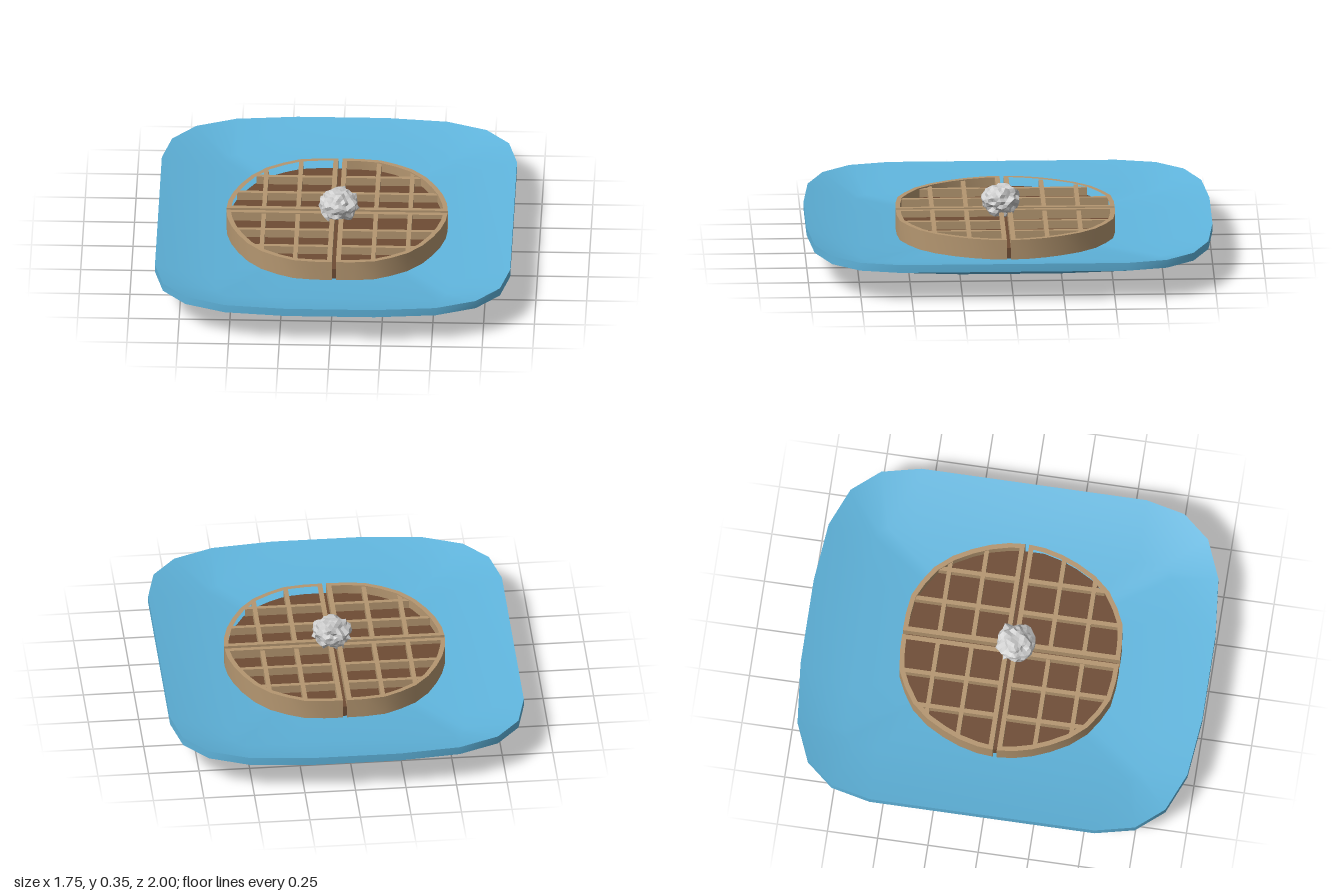
import * as THREE from 'three';
import { toCreasedNormals } from 'three/addons/utils/BufferGeometryUtils.js';

const mat = (color, extra = {}) => new THREE.MeshStandardMaterial({ color, ...extra });

function add(parent, name, geometry, material) {
  const mesh = new THREE.Mesh(geometry, material);
  mesh.name = name;
  parent.add(mesh);
  return mesh;
}

// Mirrors the points of one quarter (+x towards +z) into a closed ring
function fullRing(quarter) {
  const back = [...quarter].reverse();
  return [
    ...quarter,
    ...back.map(([x, z]) => [-x, z]),
    ...quarter.map(([x, z]) => [-x, -z]),
    ...back.map(([x, z]) => [x, -z]),
  ];
}

// Plate: rings from the underside centre, out over the rim, to the floor centre
function plateGeometry() {
  const rim = fullRing([[0.875, 0.56], [0.83, 0.755], [0.715, 0.89], [0.52, 0.97], [0.22, 1]]);
  const floor = fullRing([[0.58, 0.56], [0.57, 0.68], [0.55, 0.72], [0.51, 0.737], [0.3, 0.745]]);
  const rings = [
    [rim, 0, 0], [rim, 0.437, 0], [rim, 1, 0.16], [rim, 1, 0.2], [floor, 1, 0.125], [floor, 0, 0.125],
  ].map(([ring, s, y]) => ring.map(([x, z]) => [x * s, y, z * s]));
  const n = rim.length, pos = [];
  for (let k = 0; k < rings.length - 1; k++) {
    for (let i = 0; i < n; i++) {
      const j = (i + 1) % n;
      const a = rings[k][i], b = rings[k][j], c = rings[k + 1][i], d = rings[k + 1][j];
      if (k > 0) pos.push(...a, ...c, ...b);
      if (k < rings.length - 2) pos.push(...b, ...c, ...d);
    }
  }
  const g = new THREE.BufferGeometry();
  g.setAttribute('position', new THREE.Float32BufferAttribute(pos, 3));
  return toCreasedNormals(g, 0.5);
}

// Flat slab from an outline in x and z, between two heights
function slab(shape, bottom, top) {
  const g = new THREE.ExtrudeGeometry(shape, { depth: top - bottom, bevelEnabled: false });
  return g.rotateX(Math.PI / 2).translate(0, top, 0);
}

const GAP = 0.01, WALL = 0.024, BAR = 0.022, BASE = 0.125, TOP = 0.225;
const ARC = [[0, 0.54], [0.1, 0.538], [0.2, 0.525], [0.28, 0.487], [0.36, 0.435], [0.43, 0.355],
  [0.48, 0.265], [0.515, 0.18], [0.538, 0.09], [0.545, 0]];

// Outer edge of the waffle, z for a given x (or x for a given z when swapped)
function edgeAt(v, swap) {
  const pts = swap ? ARC.map(([x, z]) => [z, x]).reverse() : ARC;
  const i = pts.findIndex((p) => p[0] >= v);
  const [x0, z0] = pts[i - 1], [x1, z1] = pts[i];
  return z0 + ((z1 - z0) * (v - x0)) / (x1 - x0);
}

function waffleQuarter(sx, sz, material) {
  const quarter = new THREE.Group();
  quarter.name = 'waffleQuarter';
  const toPoints = (pts) => pts.map(([x, z]) => new THREE.Vector2(x * sx, z * sz));

  // Border wall with an open middle
  const clampArc = (inset, min) => ARC.map(([x, z]) => {
    const s = 1 - inset / Math.hypot(x, z);
    return [Math.max(x * s, min), Math.max(z * s, min)];
  });
  const inner = GAP + WALL;
  const wall = new THREE.Shape(toPoints([[GAP, GAP], ...clampArc(0, GAP)]));
  wall.holes.push(new THREE.Path(toPoints([[inner, inner], ...clampArc(WALL, inner)])));
  add(quarter, 'border', toCreasedNormals(slab(wall, BASE, TOP), 0.5), material);

  // Crossing bars, each ending inside the border
  const h = TOP - BASE - 0.006;
  for (const v of [0.192, 0.36]) {
    for (const alongX of [false, true]) {
      const end = edgeAt(v + BAR / 2, alongX) - 0.008;
      const len = end - GAP - 0.005, mid = (end + GAP + 0.005) / 2;
      const bar = add(quarter, 'gridBar',
        alongX ? new THREE.BoxGeometry(len, h, BAR) : new THREE.BoxGeometry(BAR, h, len), material);
      bar.position.set(sx * (alongX ? mid : v), BASE + h / 2, sz * (alongX ? v : mid));
    }
  }
  return quarter;
}

// Crumpled scoop: a ball whose corners are pushed in and out by a position hash
function scoopGeometry() {
  const g = new THREE.IcosahedronGeometry(1, 4);
  const p = g.attributes.position, v = new THREE.Vector3();
  for (let i = 0; i < p.count; i++) {
    v.fromBufferAttribute(p, i);
    const q = [v.x, v.y, v.z].map((c) => Math.round(c * 500));
    const s = Math.sin(q[0] * 12.9898 + q[1] * 78.233 + q[2] * 37.719) * 43758.5453;
    const lumps = Math.sin(v.x * 5 + 1) * Math.sin(v.y * 6) * Math.sin(v.z * 5 + 2);
    v.multiplyScalar(0.9 + 0.14 * lumps + 0.2 * (s - Math.floor(s) - 0.5));
    p.setXYZ(i, v.x * 0.103, v.y * 0.085, v.z * 0.103);
  }
  g.computeVertexNormals();
  return g;
}

export function createModel() {
  const model = new THREE.Group();
  model.name = 'waffleOnPlate';
  add(model, 'plate', plateGeometry(), mat(0x5fb4dc));

  const waffle = new THREE.Group();
  waffle.name = 'waffle';
  waffle.position.set(0.006, 0, 0.014);
  model.add(waffle);
  const crust = mat(0xb49670);
  for (const sx of [-1, 1]) for (const sz of [-1, 1]) waffle.add(waffleQuarter(sx, sz, crust));

  // Dark base seen in the cells and between the quarters
  const base = new THREE.Shape(fullRing([...ARC].reverse().slice(1, -1))
    .map(([x, z]) => new THREE.Vector2(x * 0.975, z * 0.975)));
  add(waffle, 'waffleBase', slab(base, BASE - 0.002, 0.178), mat(0x6e4c34));

  add(model, 'scoop', scoopGeometry(), mat(0xcccccc, { flatShading: true })).position.set(0.016, 0.27, 0.035);
  return model;
}
